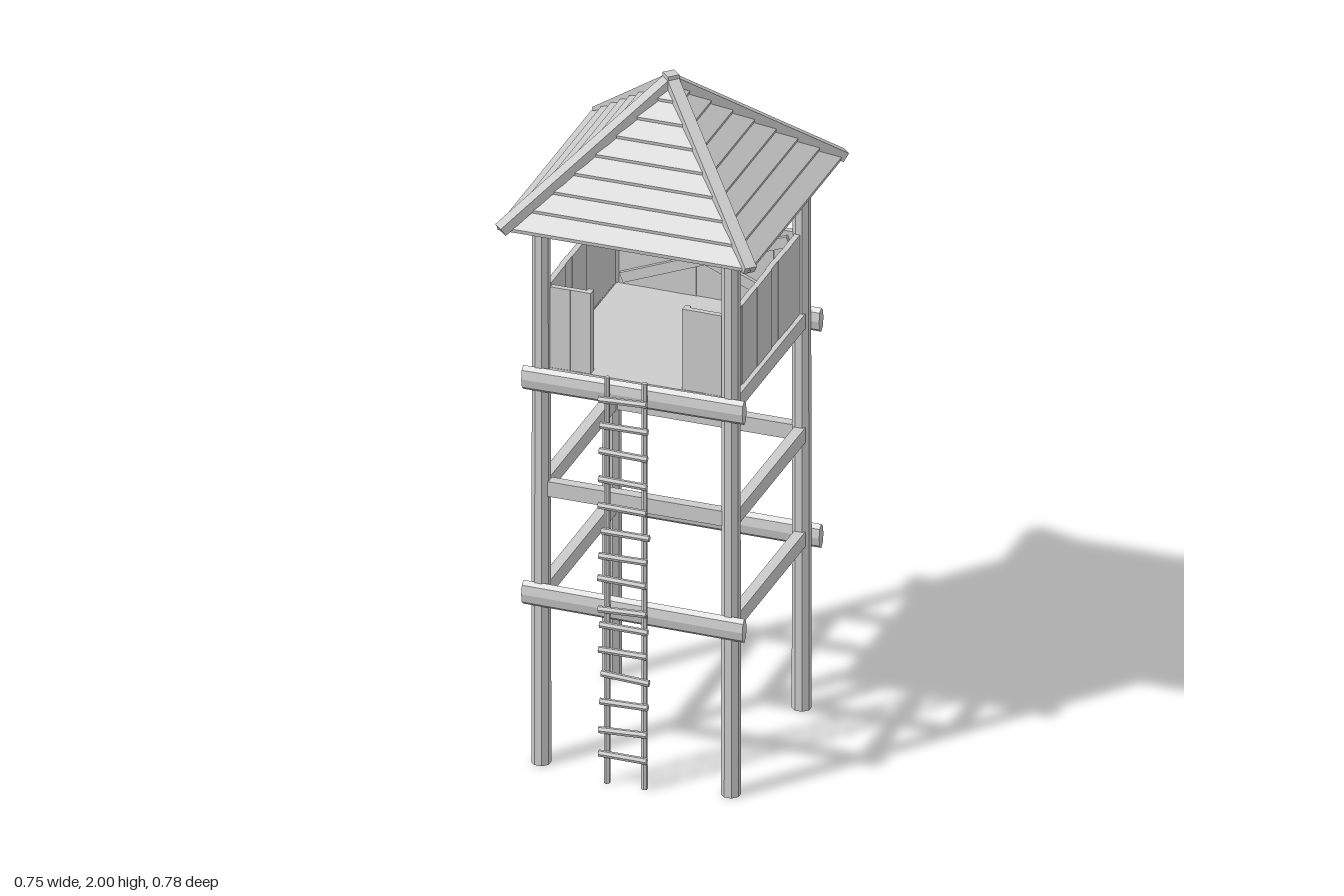
import * as THREE from 'three';

const wood = new THREE.MeshStandardMaterial({ color: 0xcccccc, flatShading: true });

export function createModel() {
  const tower = new THREE.Group();
  tower.name = 'watchtower';

  let seed = 7;
  const wobble = (amount) => {
    seed = (seed * 16807) % 2147483647;
    return (seed / 2147483647 - 0.5) * 2 * amount;
  };

  const add = (name, geometry, parent = tower) => {
    const mesh = new THREE.Mesh(geometry, wood);
    mesh.name = name;
    parent.add(mesh);
    return mesh;
  };
  const box = (name, size, pos, parent) => {
    const mesh = add(name, new THREE.BoxGeometry(...size), parent);
    mesh.position.set(...pos);
    return mesh;
  };
  // Box running from a to b in its parent's space
  const up = new THREE.Vector3(0, 1, 0);
  const beam = (name, a, b, width, height, parent) => {
    const start = new THREE.Vector3(...a), end = new THREE.Vector3(...b);
    const mesh = box(name, [width, height, start.distanceTo(end)], start.clone().lerp(end, 0.5).toArray(), parent);
    mesh.quaternion.setFromRotationMatrix(new THREE.Matrix4().lookAt(end, start, up));
  };
  // Horizontal log along x with an oval cross-section
  const log = (name, length, ry, rz, pos, sides = 8) => {
    const geometry = new THREE.CylinderGeometry(1, 1, length, sides).rotateZ(Math.PI / 2).scale(1, ry, rz);
    const mesh = add(name, geometry);
    mesh.position.set(...pos);
    return mesh;
  };

  // Corner posts
  for (const x of [-0.275, 0.27]) for (const z of [-0.27, 0.275]) {
    const post = add('cornerPost', new THREE.CylinderGeometry(0.025, 0.027, 1.69, 8).rotateY(Math.PI / 8));
    post.position.set(x, 0.845, z);
  }

  // Long logs across front and back, short rails between posts
  for (const z of [0.297, -0.296]) {
    for (const y of [0.515, 1.17]) {
      log('crossLog', 0.635, 0.036, 0.017, [-0.001, y, z]).rotation.z = wobble(0.008);
    }
    box('middleRail', [0.52, 0.045, 0.03], [0, 0.835, Math.sign(z) * 0.272]);
  }
  for (const x of [-0.272, 0.272]) for (const y of [0.52, 0.835, 1.18]) {
    box('sideRail', [0.03, 0.045, 0.52], [x, y, 0]);
  }

  // Platform floor
  box('floor', [0.54, 0.03, 0.55], [0, 1.183, 0]);

  // Plank parapet, built along x then turned into place
  const parapet = (name, angle, spans, braced) => {
    const wall = new THREE.Group();
    wall.name = name;
    wall.rotation.y = angle;
    tower.add(wall);
    for (const [from, to, count] of spans) {
      const w = (to - from) / count;
      for (let i = 0; i < count; i++) {
        box('plank', [w, 0.245, 0.016], [from + w * (i + 0.5), 1.319, 0.265 + wobble(0.0015)], wall);
      }
    }
    if (braced) for (const s of [-1, 1]) {
      beam('crossBrace', [-0.24 * s, 1.22, 0.252], [0.24 * s, 1.415, 0.252], 0.012, 0.03, wall);
    }
  };
  const full = [[-0.25, 0.25, 9]];
  parapet('frontParapet', 0, [[-0.25, -0.135, 2], [0.13, 0.25, 2]], false);
  parapet('backParapet', Math.PI, full, true);
  parapet('rightParapet', Math.PI / 2, full, true);
  parapet('leftParapet', -Math.PI / 2, full, false);

  // Door jambs beside the front opening
  for (const x of [-0.142, 0.137]) box('doorJamb', [0.016, 0.245, 0.026], [x, 1.319, 0.26]);

  // Roof: four-sided sawtooth of overlapping boards around a plain underside
  const rows = 8, half = 0.362, eave = 1.635, peak = 1.975, lip = 0.011;
  const profile = [[0, peak - 0.025], [half - 0.012, eave - 0.005]];
  for (let i = 0; i < rows; i++) {
    const low = i / rows, high = (i + 1) / rows;
    profile.push([half * (1 - low), eave + (peak - eave) * low]);
    profile.push([half * (1 - low) + 0.002, eave + (peak - eave) * low + lip]);
    profile.push([half * (1 - high), eave + (peak - eave) * high + 0.002]);
  }
  const points = profile.map(([r, y]) => new THREE.Vector2(r * Math.SQRT2, y));
  add('roofBoards', new THREE.LatheGeometry(points, 4, Math.PI / 4)).position.x = -0.006;

  // Hip beams covering the roof corners
  for (const [x, z] of [[-0.356, 0.373], [0.356, 0.361], [-0.352, -0.376], [0.356, -0.363]]) {
    beam('hipBeam', [-0.005, 1.983, 0], [x, 1.642, z], 0.034, 0.028);
  }
  const cap = add('roofCap', new THREE.BoxGeometry(0.034, 0.03, 0.034).rotateY(Math.PI / 4));
  cap.position.set(-0.005, 1.985, 0);

  // Ladder
  for (const x of [-0.066, 0.041]) {
    const rail = add('ladderRail', new THREE.CylinderGeometry(0.008, 0.009, 1.228, 6));
    rail.position.set(x, 0.614, 0.328);
  }
  const rungHeights = [0.09, 0.165, 0.25, 0.33, 0.405, 0.48, 0.53, 0.62, 0.69, 0.765, 0.84, 0.92, 1.005, 1.085, 1.165];
  for (const y of rungHeights) {
    const rung = log('ladderRung', 0.138, 0.01, 0.008, [-0.015 + wobble(0.006), y, 0.338], 6);
    rung.rotation.z = wobble(0.06);
  }

  return tower;
}
